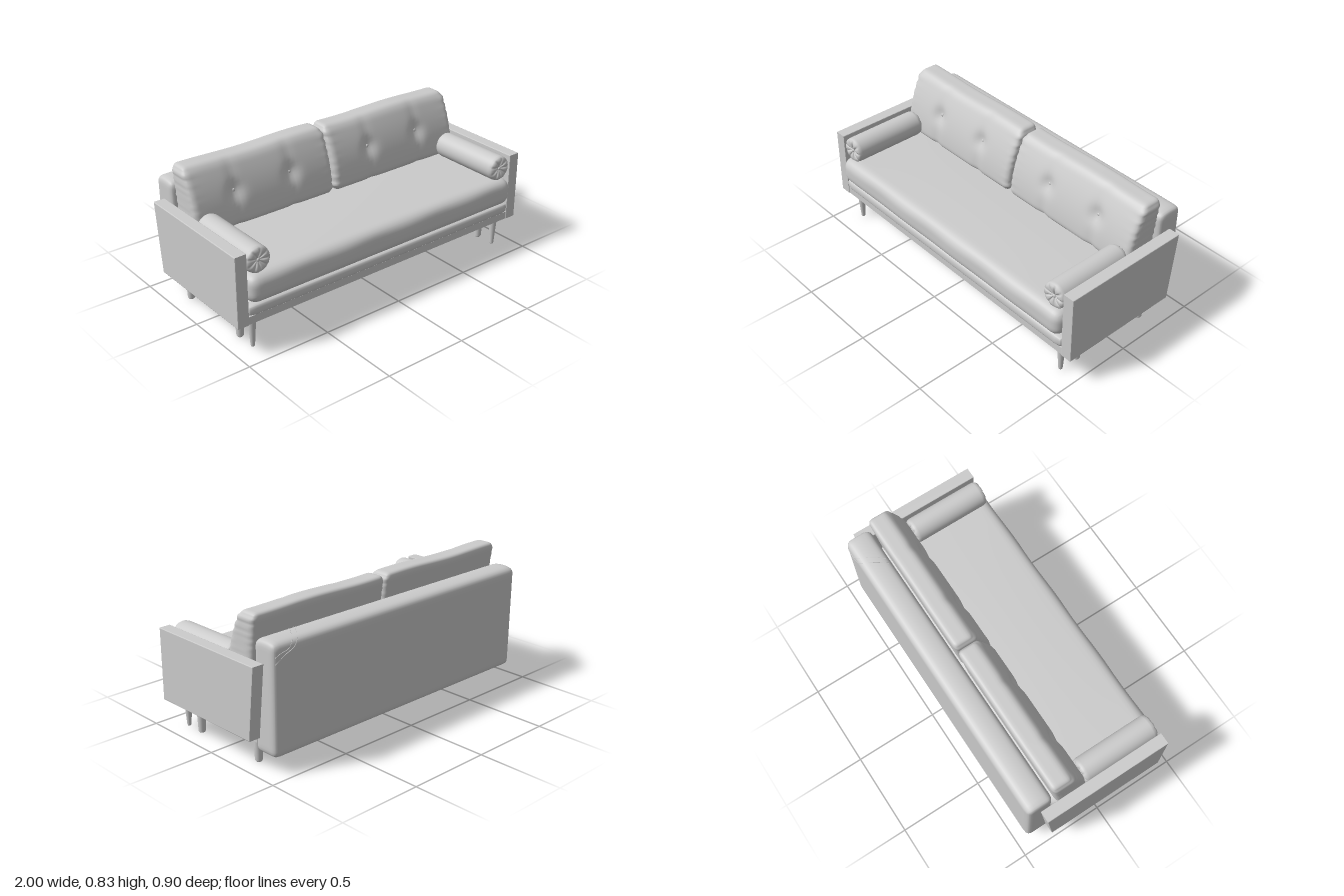
import * as THREE from 'three';
import { mergeVertices } from 'three/addons/utils/BufferGeometryUtils.js';

const material = new THREE.MeshStandardMaterial({ color: 0xcccccc, roughness: 0.8 });

function add(parent, name, geometry, x = 0, y = 0, z = 0) {
  const mesh = new THREE.Mesh(geometry, material);
  mesh.name = name;
  mesh.position.set(x, y, z);
  parent.add(mesh);
  return mesh;
}

// Weld and smooth a geometry after its vertices have been moved
function smooth(geometry) {
  geometry.deleteAttribute('uv');
  geometry.deleteAttribute('normal');
  const welded = mergeVertices(geometry, 1e-5);
  welded.computeVertexNormals();
  return welded;
}

// Rounded, subdivided box whose vertices can be shaped by a rule
function softBox(w, h, d, r, segs, shape) {
  const g = new THREE.BoxGeometry(2, 2, 2, ...segs);
  const p = g.attributes.position;
  const half = new THREE.Vector3(w / 2, h / 2, d / 2);
  const core = half.clone().subScalar(r);
  const v = new THREE.Vector3(), inner = new THREE.Vector3();
  const spread = (t) => 0.25 * t + 0.75 * Math.sin(t * Math.PI / 2); // denser near edges
  for (let i = 0; i < p.count; i++) {
    v.fromBufferAttribute(p, i);
    v.set(spread(v.x), spread(v.y), spread(v.z)).multiply(half);
    inner.copy(v).clamp(core.clone().negate(), core);
    v.sub(inner).setLength(r).add(inner);
    if (shape) shape(v);
    p.setXYZ(i, v.x, v.y, v.z);
  }
  return smooth(g);
}

const bump = (d2, size) => Math.exp(-d2 / (size * size));

// Back cushion: leaning, narrower at the top, tufted at two buttons
function backCushion(parent, side) {
  const cushion = new THREE.Group();
  cushion.name = side > 0 ? 'leftBackCushion' : 'rightBackCushion';
  parent.add(cushion);
  const cx = side * 0.465, bottom = 0.455, h = 0.37;
  const front = (t) => -0.06 - 0.115 * t * t;
  const back = (t) => -0.25 - 0.048 * t;
  const buttons = [-0.185, 0.185], buttonY = 0.65;
  const geo = softBox(0.928, h, 0.2, 0.04, [56, 28, 10], (v) => {
    const t = v.y / h + 0.5;
    const s = v.z / 0.2 + 0.5;
    const y = bottom + t * h;
    let z = back(t) + (front(t) - back(t)) * s;
    for (const b of buttons) {
      const dx = v.x - b, dy = y - buttonY;
      z -= s * (0.022 * bump(dx * dx + dy * dy, 0.045)
        + 0.009 * bump(dx * dx, 0.03) * (1 - 0.5 * t));
    }
    // Gathered fabric along the side seams
    const edge = Math.pow(Math.abs(v.x) / 0.464, 14);
    z += s * edge * 0.004 * Math.sin(y * 130);
    v.x -= Math.sign(v.x) * edge * 0.003 * (1 + Math.sin(y * 150));
    v.y = y + 0.004 * Math.sin(v.x * 9 + side) * t;
    v.z = z;
  });
  add(cushion, 'cushionBody', geo, cx);
  const t = (buttonY - bottom) / h;
  for (const b of buttons) {
    const button = add(cushion, 'tuftButton', new THREE.SphereGeometry(0.01, 12, 8), cx + b, buttonY, front(t) - 0.028);
    button.scale.z = 0.6;
  }
}

// Bolster: cylinder with pleated ends, running front to back
function bolster(parent, side) {
  const group = new THREE.Group();
  group.name = side > 0 ? 'leftBolster' : 'rightBolster';
  group.position.set(side * 0.855, 0.525, 0.17);
  parent.add(group);
  const L = 0.24, R = 0.075;
  const end = [[0, L - 0.014], [0.012, L - 0.012], [0.03, L - 0.004], [0.05, L], [0.064, L - 0.003], [0.072, L - 0.012], [R, L - 0.028]];
  const pts = [...end.map(([r, y]) => [r, -y]), [R, -0.1], [R, 0], [R, 0.1], ...end.slice().reverse()];
  const g = new THREE.LatheGeometry(pts.map(([r, y]) => new THREE.Vector2(r, y)), 72);
  const p = g.attributes.position;
  for (let i = 0; i < p.count; i++) {
    const x = p.getX(i), y = p.getY(i), z = p.getZ(i);
    const r = Math.hypot(x, z);
    if (Math.abs(y) < L - 0.02 || r < 0.005) continue;
    const pleat = Math.pow(Math.abs(Math.cos(Math.atan2(z, x) * 4.5)), 8);
    p.setY(i, y - Math.sign(y) * 0.008 * pleat * Math.sin(Math.PI * Math.min(1, r / R)));
  }
  const body = add(group, 'bolsterBody', smooth(g));
  body.rotation.x = Math.PI / 2;
  for (const e of [-1, 1]) {
    const button = add(group, 'bolsterButton', new THREE.SphereGeometry(0.01, 12, 8), 0, 0, e * (L - 0.011));
    button.scale.z = 0.6;
  }
}

// Arm panel: side outline with a slanted rear edge
function arm(parent, side) {
  const b = 0.004;
  const s = new THREE.Shape();
  s.moveTo(-0.41 + b, 0.175 + b);
  s.lineTo(0.325 - b, 0.175 + b);
  s.lineTo(0.37 - b, 0.59 - b);
  s.lineTo(-0.41 + b, 0.59 - b);
  s.closePath();
  const g = new THREE.ExtrudeGeometry(s, { depth: 0.07 - 2 * b, bevelThickness: b, bevelSize: b, bevelSegments: 2 });
  g.translate(0, 0, -0.035 + b);
  g.rotateY(Math.PI / 2); // outline x becomes -z
  add(parent, side > 0 ? 'leftArm' : 'rightArm', g, side * 0.965);
}

// Turned leg from a tapered profile
function leg(parent, name, x, z, height, top, foot) {
  const profile = [[0, 0], [foot * 0.7, 0], [foot, 0.008], [top, height - 0.01], [top, height], [0, height]];
  const points = profile.map(([r, y]) => new THREE.Vector2(r, y));
  add(parent, name, new THREE.LatheGeometry(points, 24), x, 0, z);
}

export function createModel() {
  const sofa = new THREE.Group();
  sofa.name = 'sofa';

  // Base frame, deck and underside platform
  add(sofa, 'baseFrame', new THREE.BoxGeometry(1.87, 0.045, 0.69), 0, 0.1975, 0.061);
  add(sofa, 'deckCushion', softBox(1.86, 0.068, 0.705, 0.026, [16, 8, 16]), 0, 0.252, 0.068);
  add(sofa, 'underPlatform', new THREE.BoxGeometry(1.8, 0.05, 0.45), 0, 0.155, -0.005);

  // Seat cushion with a gently crowned top
  add(sofa, 'seatCushion', softBox(1.86, 0.165, 0.72, 0.06, [40, 14, 28], (v) => {
    const crown = (1 - (v.x / 0.93) ** 2) * Math.max(0, 1 - (v.z / 0.36) ** 2);
    if (v.y > 0) v.y += 0.01 * crown;
    if (v.z > 0.25) v.z += 0.003 * Math.sin(v.x * 14) * Math.cos(v.y * 20);
  }), 0, 0.371, 0.085);

  // Folding backrest slab with a domed top
  add(sofa, 'backrest', softBox(1.86, 0.61, 0.16, 0.034, [32, 24, 14], (v) => {
    if (v.y > 0.2) v.y += 0.012 * (1 - (v.z / 0.08) ** 2);
    v.z -= 0.004 * (v.y / 0.305);
  }), 0, 0.394, -0.367);

  // Corner seams wrapping over the backrest
  for (const o of [0, 0.035]) {
    const path = new THREE.CatmullRomCurve3([
      [0.68 + o, 0.702, -0.31], [0.72 + o, 0.71, -0.37], [0.765 + o, 0.697, -0.434],
      [0.80 + o, 0.667, -0.45], [0.87 + o * 0.6, 0.635 + o * 0.5, -0.45], [0.918, 0.6 + o, -0.444],
    ].map((q) => new THREE.Vector3(...q)));
    add(sofa, 'backrestSeam', new THREE.TubeGeometry(path, 30, 0.0025, 6));
  }

  // Mirrored parts
  for (const side of [1, -1]) {
    const x = side * 0.88;
    arm(sofa, side);
    backCushion(sofa, side);
    bolster(sofa, side);
    leg(sofa, 'frontLeg', x, 0.355, 0.176, 0.023, 0.012);
    for (const [name, z] of [['middleLeg', 0.237], ['rearLeg', -0.247]]) {
      leg(sofa, name, x, z, 0.13, 0.025, 0.02);
      add(sofa, name + 'Block', new THREE.BoxGeometry(0.064, 0.052, 0.064), x, 0.151, z);
    }
  }
  return sofa;
}
